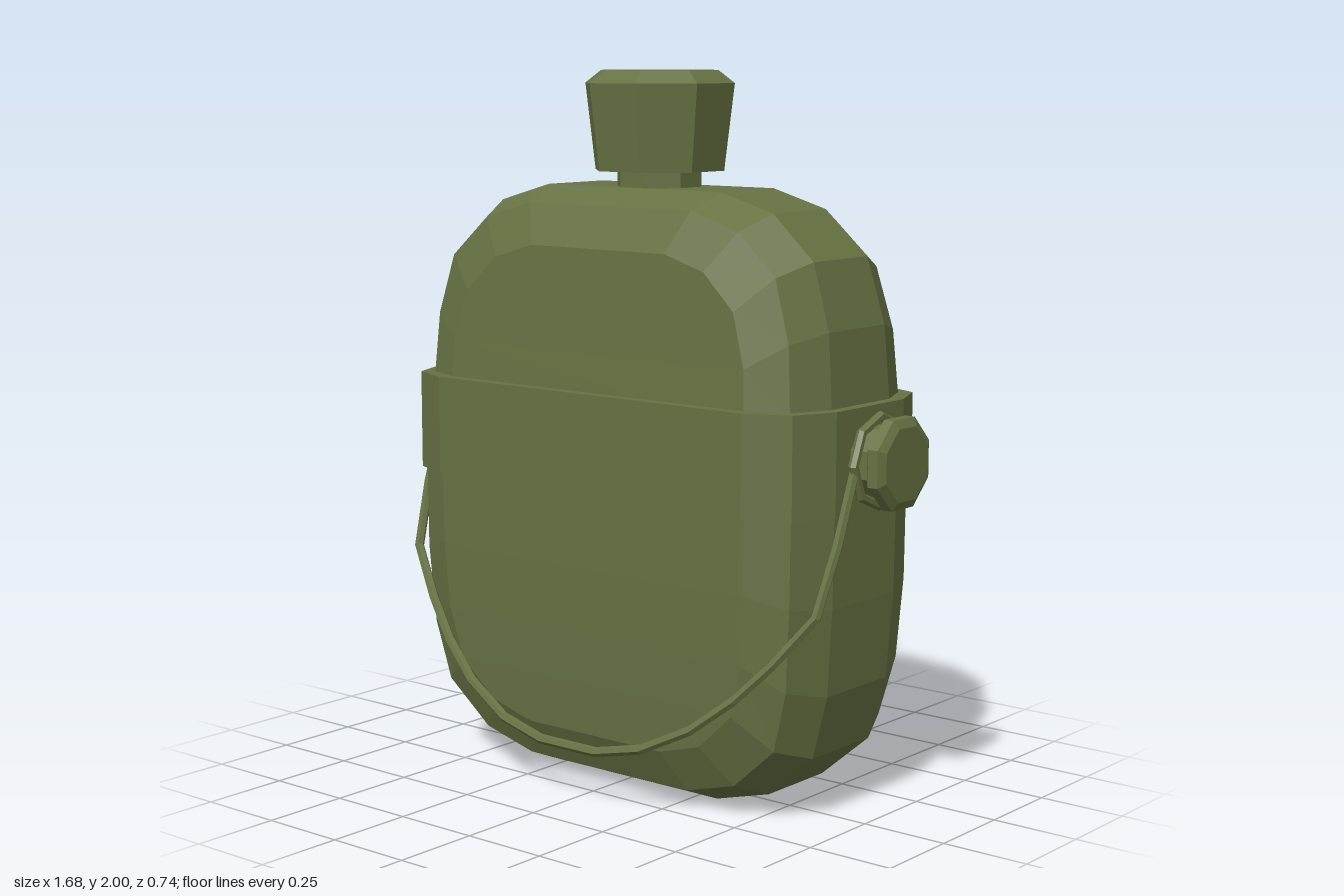
import * as THREE from 'three';

const olive = new THREE.MeshStandardMaterial({ color: 0x667243, flatShading: true });
const CZ = -0.04; // depth centre of the flask

function part(name, geometry, parent) {
  const mesh = new THREE.Mesh(geometry, olive);
  mesh.name = name;
  parent.add(mesh);
  return mesh;
}

// half depth of the flask at a height
const depths = [[0, 0.27], [0.18, 0.29], [0.36, 0.305], [0.6, 0.318], [0.85, 0.318], [1.13, 0.296], [1.53, 0.27], [1.68, 0.26]];
function halfDepth(y) {
  for (let i = 1; i < depths.length; i++) {
    const [y0, d0] = depths[i - 1], [y1, d1] = depths[i];
    if (y <= y1) return d0 + (d1 - d0) * (y - y0) / (y1 - y0);
  }
  return 0.26;
}

// flask body: inset outline rings from front to back, closed by flat strips
function bodyGeometry() {
  const half = [[0.31, 1.68], [0.485, 1.63], [0.62, 1.51], [0.675, 1.33], [0.69, 1.13], [0.71, 0.85],
    [0.707, 0.6], [0.69, 0.36], [0.64, 0.18], [0.49, 0.05], [0.31, 0]];
  const outline = [...half, ...half.map(([x, y]) => [-x, y]).reverse()];
  const n = outline.length, rows = half.length;
  // x scale, y scale, share of the half depth
  const rings = [[0.77, 0.81, 1], [0.93, 0.945, 0.84], [1, 1, 0.45], [1, 1, -0.45], [0.93, 0.945, -0.84], [0.77, 0.81, -1]];
  const pos = [], index = [];
  for (const [sx, sy, f] of rings) {
    for (const [x, y] of outline) {
      const py = 0.84 + (y - 0.84) * sy;
      pos.push(x * sx, py, CZ + halfDepth(py) * f);
    }
  }
  const quad = (a, b, c, d) => index.push(a, b, c, a, c, d);
  for (let r = 0; r < rings.length - 1; r++) {
    for (let i = 0; i < n; i++) {
      const j = (i + 1) % n, a = r * n, b = a + n;
      quad(a + i, a + j, b + j, b + i);
    }
  }
  const last = (rings.length - 1) * n;
  for (let i = 0; i < rows - 1; i++) {
    const l = n - 1 - i;
    quad(l, l - 1, i + 1, i);
    quad(last + i, last + i + 1, last + l - 1, last + l);
  }
  const g = new THREE.BufferGeometry();
  g.setAttribute('position', new THREE.Float32BufferAttribute(pos, 3));
  g.setIndex(index);
  g.computeVertexNormals();
  return g;
}

// belt around the middle
function beltGeometry() {
  const q = [[0.545, 0.33], [0.67, 0.277], [0.722, 0.155]];
  const right = [...q, ...q.map(([x, z]) => [x, -z]).reverse()];
  const loop = [...right, ...right.map(([x, z]) => [-x, z]).reverse()];
  const shape = new THREE.Shape(loop.map(([x, z]) => new THREE.Vector2(x, z)));
  const g = new THREE.ExtrudeGeometry(shape, { depth: 0.28, bevelEnabled: false });
  return g.rotateX(-Math.PI / 2).translate(0, 0.85, CZ);
}

// eight-sided turned part; radii are measured to the flats
function octagonal(profile) {
  const k = 1 / Math.cos(Math.PI / 8);
  const points = profile.map(([r, y]) => new THREE.Vector2(r * k, y));
  return new THREE.LatheGeometry(points, 8, Math.PI / 8);
}

// wire handle hanging in front
function handleGeometry() {
  const half = [[0.75, 0.98], [0.745, 0.78], [0.725, 0.6], [0.62, 0.465], [0.52, 0.36], [0.4, 0.265], [0.25, 0.19], [0.1, 0.157]];
  const all = [...half, ...half.map(([x, y]) => [-x, y]).reverse()];
  const curve = new THREE.CatmullRomCurve3(all.map(([x, y]) => new THREE.Vector3(x, y, 0.075 + (0.96 - y) * 0.35)));
  curve.getPointAt = (t) => curve.getPoint(t);
  curve.getTangentAt = (t) => curve.getTangent(t);
  return new THREE.TubeGeometry(curve, all.length - 1, 0.014, 6, false);
}

export function createModel() {
  const model = new THREE.Group();
  model.name = 'canteen';
  part('body', bodyGeometry(), model);
  part('belt', beltGeometry(), model);

  // neck and stopper
  part('neck', octagonal([[0.113, 1.64], [0.113, 1.74]]), model).position.z = CZ;
  part('cap', octagonal([[0, 1.725], [0.173, 1.725], [0.2, 1.965], [0.157, 2], [0, 2]]), model).position.z = CZ;

  // side pivots with wire loops
  for (const side of [1, -1]) {
    const pivot = new THREE.Group();
    pivot.name = side > 0 ? 'leftPivot' : 'rightPivot';
    pivot.position.set(0, 0.985, CZ);
    pivot.rotation.z = -side * Math.PI / 2;
    part('bolt', octagonal([[0.09, 0.68], [0.09, 0.785], [0.105, 0.785], [0.12, 0.797], [0.12, 0.827], [0.097, 0.84], [0, 0.84]]), pivot);
    const loop = part('wireLoop', new THREE.TorusGeometry(0.12, 0.014, 6, 8), pivot);
    loop.rotation.x = Math.PI / 2;
    loop.position.y = 0.752;
    model.add(pivot);
  }
  part('handle', handleGeometry(), model);
  return model;
}
